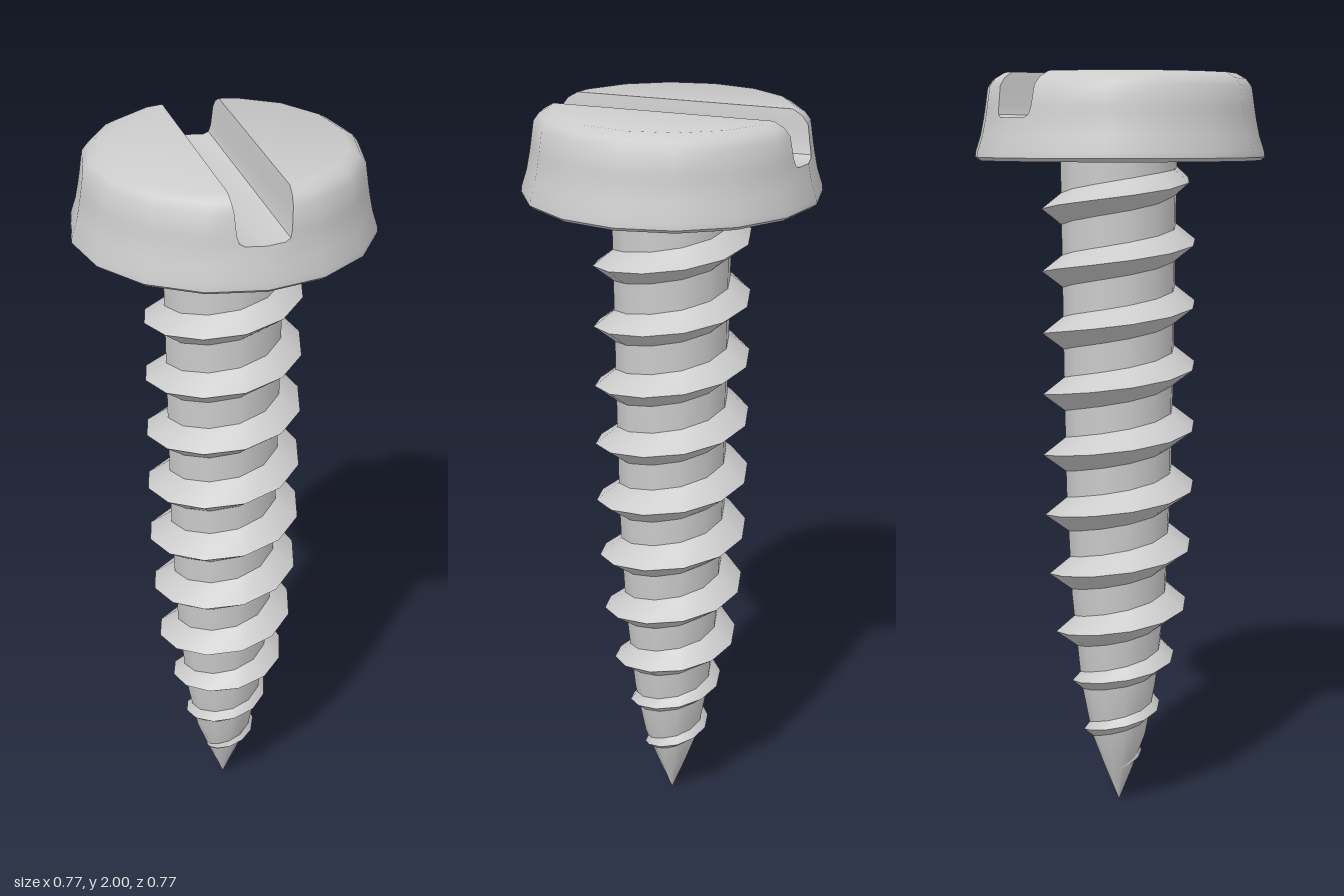
import * as THREE from 'three';
import { mergeGeometries, toCreasedNormals } from 'three/addons/utils/BufferGeometryUtils.js';

const HEAD_SIDES = 16, SHAFT_SIDES = 12;
const PITCH = 0.165;

// [height, radius] tables for the shaft core and the thread crest
const CORE = [[0, 0], [0.1, 0.04], [0.2, 0.077], [0.35, 0.106], [0.6, 0.131], [0.9, 0.145], [1.3, 0.151], [1.79, 0.157]];
const CREST = [[0.09, 0.034], [0.19, 0.094], [0.27, 0.112], [0.34, 0.127], [0.41, 0.15], [0.48, 0.173],
  [0.56, 0.186], [0.64, 0.192], [0.8, 0.203], [0.95, 0.208], [1.7, 0.208], [1.745, 0.178], [1.785, 0.155]];

function lookUp(table, y) {
  if (y <= table[0][0]) return table[0][1];
  for (let i = 1; i < table.length; i++) {
    const [y0, r0] = table[i - 1], [y1, r1] = table[i];
    if (y <= y1) return r0 + (r1 - r0) * (y - y0) / (y1 - y0);
  }
  return table[table.length - 1][1];
}

const polar = (r, a, y) => new THREE.Vector3(r * Math.sin(a), y, r * Math.cos(a));

// Surface through rows of points, rows running upwards and columns anticlockwise
function sheet(rows) {
  const pos = [], index = [], n = rows[0].length;
  rows.forEach((row, j) => row.forEach((p, i) => {
    pos.push(p.x, p.y, p.z);
    if (j && i) {
      const d = j * n + i, c = d - 1, b = d - n, a = b - 1;
      index.push(a, b, d, a, d, c);
    }
  }));
  const g = new THREE.BufferGeometry();
  g.setAttribute('position', new THREE.Float32BufferAttribute(pos, 3));
  g.setIndex(index);
  return g.toNonIndexed();
}

// Flat fan over a convex ring
function cap(ring, up) {
  const pts = [];
  for (let i = 1; i < ring.length - 1; i++) {
    pts.push(ring[0], ...(up ? [ring[i], ring[i + 1]] : [ring[i + 1], ring[i]]));
  }
  return new THREE.BufferGeometry().setFromPoints(pts);
}

// Slotted head: two half-lofts, each cut back from the middle by the slot
function headGeometry() {
  // [height, radius, slot half width]
  const levels = [[1.775, 0.374, 0], [1.784, 0.385, 0], [1.8, 0.383, 0], [1.84, 0.37, 0],
    [1.885, 0.361, 0], [1.885, 0.361, 0.05], [1.892, 0.36, 0.062], [1.91, 0.357, 0.067],
    [1.965, 0.349, 0.071], [1.985, 0.334, 0.073], [2, 0.308, 0.075]];
  const floorLevel = 4;
  const step = 2 * Math.PI / HEAD_SIDES;
  const rings = levels.map(([y, r, w]) => {
    const z = r - w * Math.tan(step / 2);
    const ring = [new THREE.Vector3(w, y, z)];
    for (let i = 1; i < HEAD_SIDES / 2; i++) ring.push(polar(r, i * step, y));
    ring.push(new THREE.Vector3(w, y, -z));
    return ring;
  });
  const slot = rings.slice(floorLevel).map(ring => [ring[ring.length - 1], ring[0]]);
  const half = mergeGeometries([sheet(rings), sheet(slot),
    cap(rings[0], false), cap(rings[rings.length - 1], true)]);
  const whole = mergeGeometries([half, half.clone().rotateY(Math.PI)]);
  return toCreasedNormals(whole, 0.65);
}

// Right-handed V thread winding up the shaft
function threadGeometry() {
  const lower = [], crest = [], upper = [];
  for (let k = -11 * SHAFT_SIDES; k <= 2 * SHAFT_SIDES; k++) {
    let y = 1.58 + PITCH * k / SHAFT_SIDES;
    if (y < 0.5) y = 0.5 - (0.5 - y) * 0.86; // tighter pitch near the point
    if (y < 0.09 || y > 1.79) continue;
    const a = 2 * Math.PI * k / SHAFT_SIDES;
    const r = lookUp(CREST, y);
    const h = 0.012 + 0.6 * Math.max(0, r - lookUp(CORE, y));
    lower.push(polar(lookUp(CORE, y - h) - 0.003, a, y - h));
    crest.push(polar(r, a, y));
    upper.push(polar(lookUp(CORE, Math.min(y + h, 1.79)) - 0.003, a, Math.min(y + h, 1.79)));
  }
  return toCreasedNormals(sheet([lower, crest, upper]), 0.8);
}

export function createModel() {
  const group = new THREE.Group();
  group.name = 'screw';
  const material = new THREE.MeshStandardMaterial({ color: 0xcccccc });
  const threadMaterial = material.clone();
  threadMaterial.side = THREE.DoubleSide;
  const add = (name, geometry, mat = material) => {
    const mesh = new THREE.Mesh(geometry, mat);
    mesh.name = name;
    group.add(mesh);
  };

  add('head', headGeometry());
  add('shaft', new THREE.LatheGeometry(CORE.map(([y, r]) => new THREE.Vector2(r, y)), SHAFT_SIDES));
  add('thread', threadGeometry(), threadMaterial);
  return group;
}
